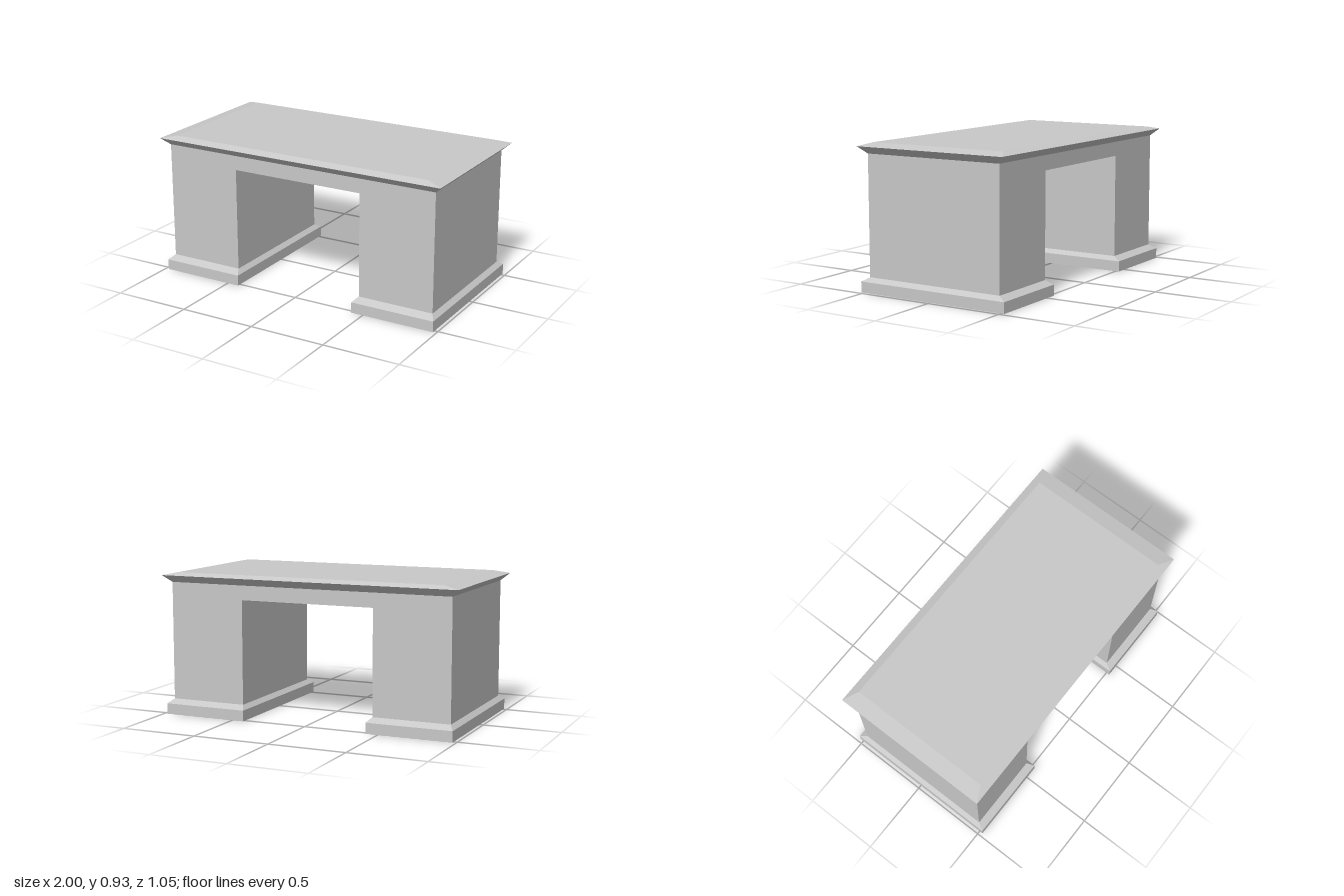
import * as THREE from 'three';

// Solid lofted through rectangular rings [x0, x1, halfDepth, y], bottom to top
function loftRings(rings) {
  const corners = rings.map(([x0, x1, z, y]) => [[x0, y, z], [x1, y, z], [x1, y, -z], [x0, y, -z]]);
  const positions = [];
  const quad = (a, b, c, d) => positions.push(...a, ...b, ...c, ...a, ...c, ...d);
  for (let r = 0; r < corners.length - 1; r++) {
    const low = corners[r], high = corners[r + 1];
    for (let i = 0; i < 4; i++) {
      const j = (i + 1) % 4;
      quad(low[i], low[j], high[j], high[i]);
    }
  }
  const bottom = corners[0];
  quad(bottom[3], bottom[2], bottom[1], bottom[0]);
  quad(...corners[corners.length - 1]);
  const geometry = new THREE.BufferGeometry();
  geometry.setAttribute('position', new THREE.Float32BufferAttribute(positions, 3));
  geometry.computeVertexNormals();
  return geometry;
}

export function createModel() {
  const group = new THREE.Group();
  group.name = 'desk';
  const grey = new THREE.MeshStandardMaterial({ color: 0xc8c8c8, flatShading: true });
  grey.name = 'light grey';

  const add = (name, geometry) => {
    const mesh = new THREE.Mesh(geometry, grey);
    mesh.name = name;
    group.add(mesh);
    return mesh;
  };

  const outer = 0.95, inner = 0.446, depth = 0.475;
  const footTop = 0.096, archTop = 0.767, bodyTop = 0.86;

  // Two pedestals joined by a lintel, as one arch-shaped body
  const arch = new THREE.Shape([
    [-outer, footTop], [-inner, footTop], [-inner, archTop], [inner, archTop],
    [inner, footTop], [outer, footTop], [outer, bodyTop], [-outer, bodyTop],
  ].map(([x, y]) => new THREE.Vector2(x, y)));
  const body = new THREE.ExtrudeGeometry(arch, { depth: depth * 2, bevelEnabled: false });
  body.translate(0, 0, -depth);
  add('body', body);

  // Plinth with a sloped upper edge under each pedestal
  for (const [name, side] of [['leftPlinth', 1], ['rightPlinth', -1]]) {
    const ring = (a, b, z, y) => [Math.min(a * side, b * side), Math.max(a * side, b * side), z, y];
    add(name, loftRings([
      ring(0.42, 0.978, 0.523, 0),
      ring(0.42, 0.978, 0.523, 0.069),
      ring(inner, outer, depth, footTop),
    ]));
  }

  // Table top: flares out to a sharp rim, then a shallow bevel
  add('tableTop', loftRings([
    [-outer, outer, depth, bodyTop],
    [-1, 1, 0.523, 0.906],
    [-0.9, 0.9, 0.471, 0.925],
  ]));

  return group;
}
